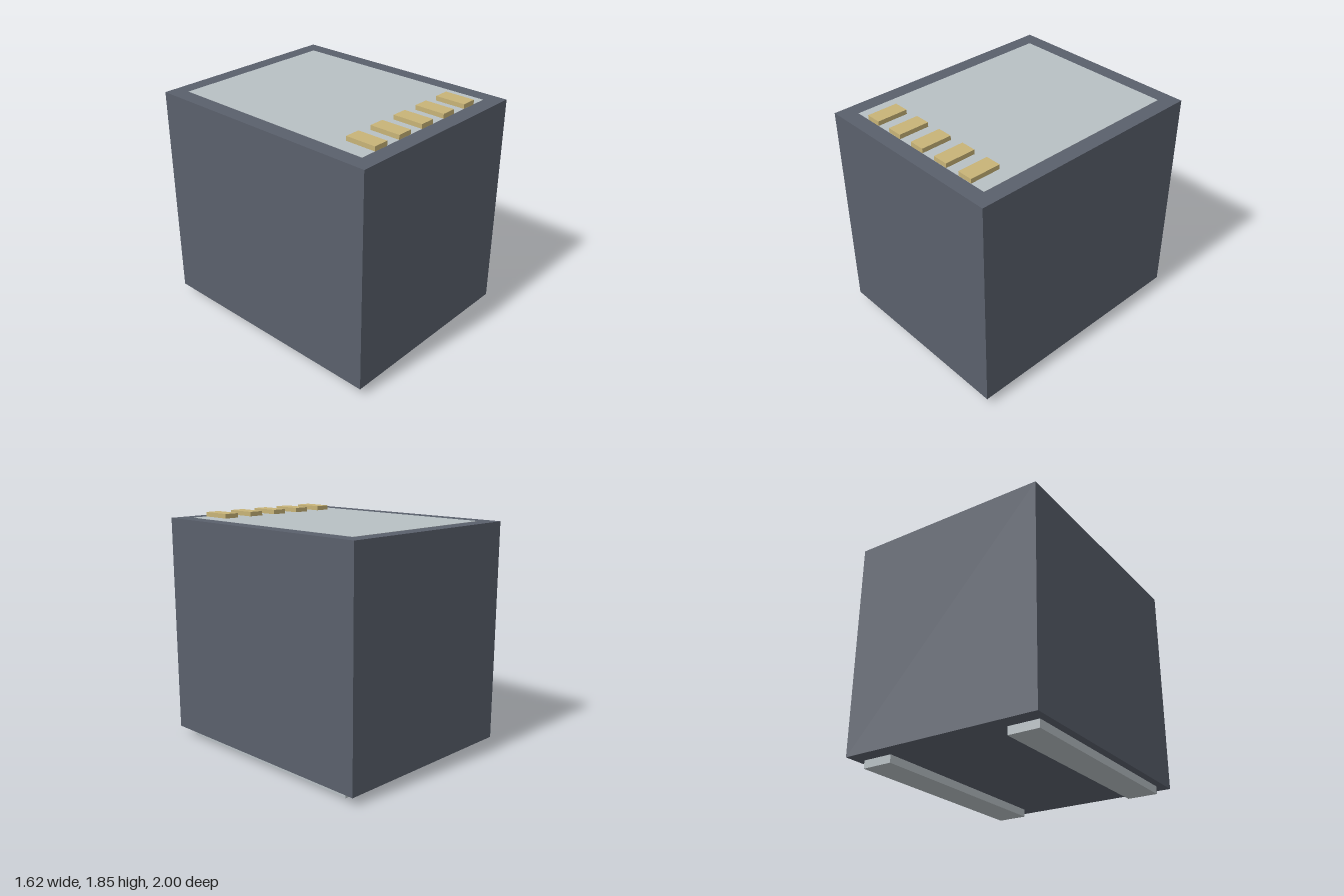
import * as THREE from 'three';

export function createModel() {
  const model = new THREE.Group();
  const material = (name, color) => {
    const m = new THREE.MeshStandardMaterial({ color });
    m.name = name;
    return m;
  };
  const slate = material('slate', 0x5a606c);
  const silver = material('silver', 0xb8c0c4);
  const gold = material('gold', 0xc8b478);

  // Box placed by its base height
  const box = (name, mat, w, h, d, x, y, z) => {
    const mesh = new THREE.Mesh(new THREE.BoxGeometry(w, h, d), mat);
    mesh.name = name;
    mesh.position.set(x, y + h / 2, z);
    model.add(mesh);
  };

  // Main block
  const base = 0.0625, top = 1.8125;
  box('body', slate, 1.625, top - base, 2, 0, base, 0);

  // Thin panel inlaid in the top, just proud of the surface
  box('topPanel', silver, 1.375, 0.004, 1.75, 0, top - 0.002, 0);

  // Two runners underneath
  for (const side of [-1, 1]) {
    box(side < 0 ? 'rightRunner' : 'leftRunner', silver, 0.25, base, 1.75, side * 0.625, 0, 0);
  }

  // Row of five keys along the front of the top
  for (let i = -2; i <= 2; i++) {
    box(`key${i + 3}`, gold, 0.125, 0.0375, 0.25, i * 0.25, top, 0.75);
  }

  return model;
}
